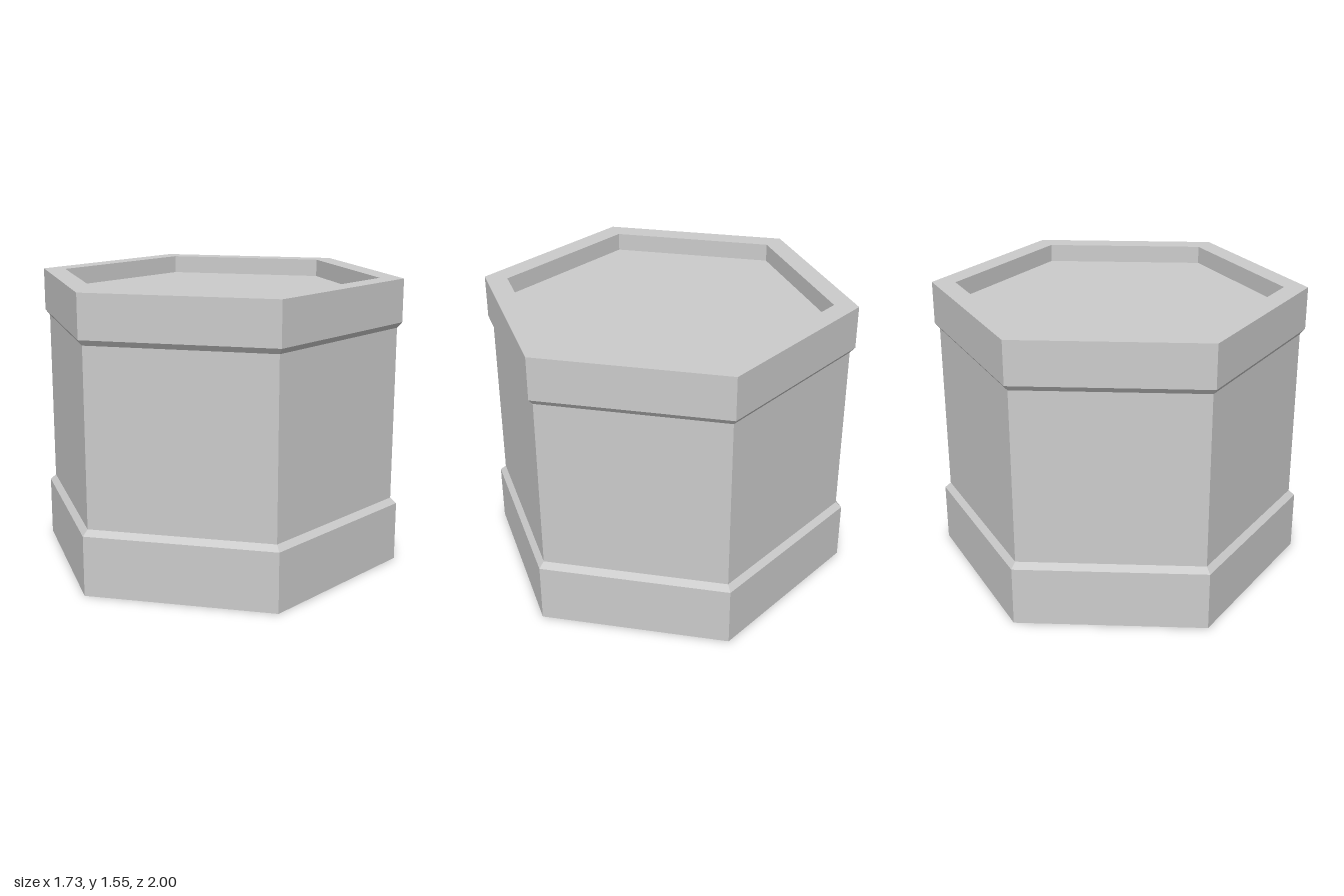
import * as THREE from 'three';

const SIDES = 6;

export function createModel() {
  const group = new THREE.Group();
  const material = new THREE.MeshStandardMaterial({ color: 0xcccccc, flatShading: true });

  // Sweep a [radius, height] profile round the hexagon, corners at +z and -z
  const addRing = (name, profile) => {
    const points = profile.map(([r, y]) => new THREE.Vector2(r, y));
    const mesh = new THREE.Mesh(new THREE.LatheGeometry(points, SIDES), material);
    mesh.name = name;
    group.add(mesh);
  };

  const bodyR = 0.967, rimR = 0.993, innerR = 0.867;

  // Closed underside, wide foot and its bevel
  addRing('base', [[0, 0], [1, 0], [1, 0.32], [bodyR, 0.35]]);
  // Straight wall
  addRing('body', [[bodyR, 0.35], [bodyR, 1.29]]);
  // Bevelled collar, flat top and inner wall of the recess
  addRing('rim', [[bodyR, 1.29], [rimR, 1.32], [rimR, 1.55], [innerR, 1.55], [innerR, 1.453]]);
  // Sunken floor of the recess
  addRing('recessedTop', [[innerR, 1.453], [0, 1.453]]);

  return group;
}
